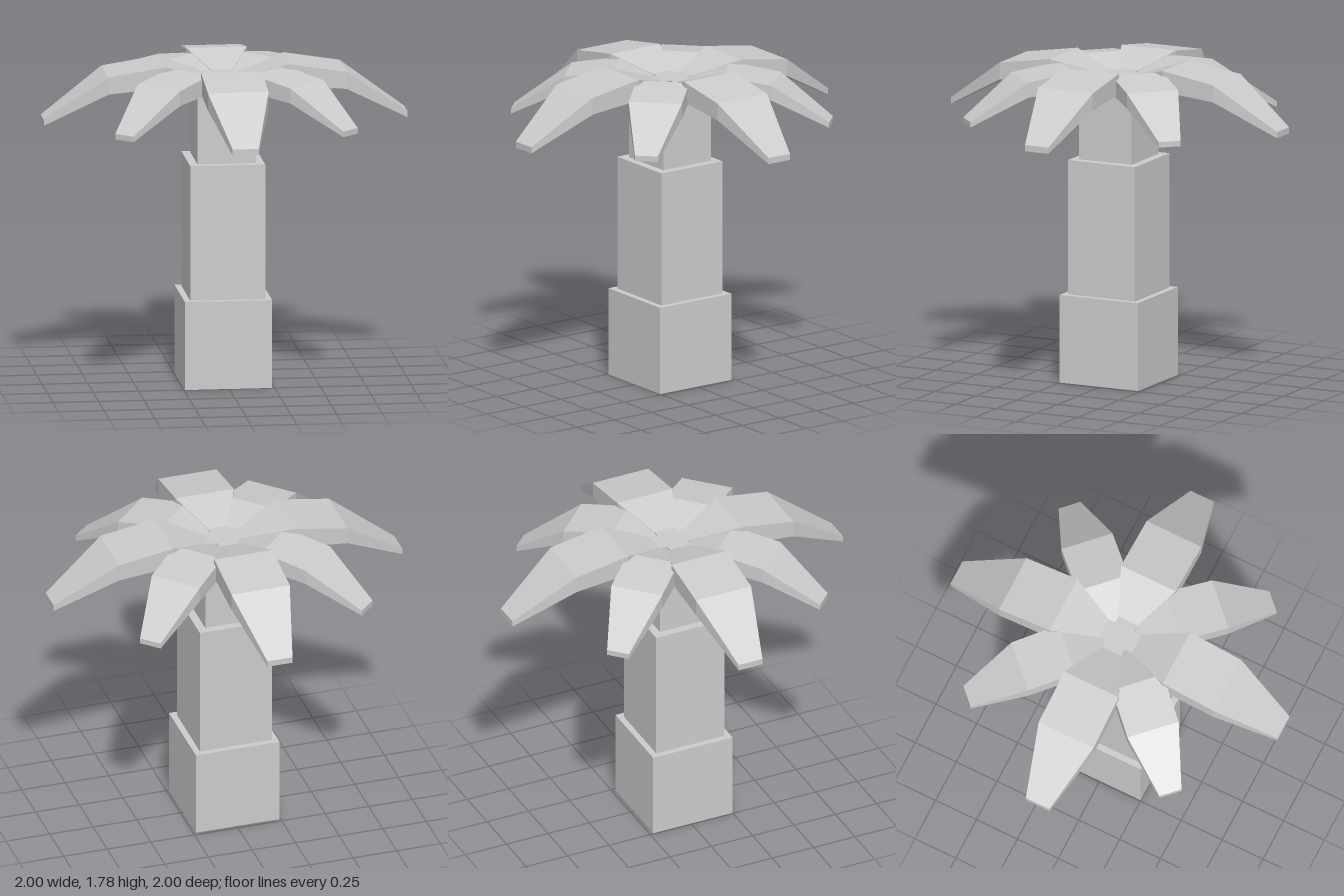
import * as THREE from 'three';

const material = new THREE.MeshStandardMaterial({ color: 0xcccccc, flatShading: true });

// Leaf stations from crown centre to tip: [distance, half width, top, bottom]
const PIVOT_Y = 1.62;
const STATIONS = [
  [0, 0.06, 1.71, 1.62],
  [0.1, 0.06, 1.71, 1.62],
  [0.345, 0.167, 1.785, 1.67],
  [0.655, 0.167, 1.735, 1.64],
  [1, 0.072, 1.49, 1.455],
];

// Four-sided solid swept through the stations along +z
function leafGeometry() {
  const positions = [];
  const index = [];
  for (const [r, w, top, bottom] of STATIONS) {
    const t = top - PIVOT_Y, b = bottom - PIVOT_Y;
    positions.push(-w, t, r, w, t, r, w, b, r, -w, b, r);
  }
  const last = (STATIONS.length - 1) * 4;
  for (let i = 0; i < last; i += 4) {
    for (let k = 0; k < 4; k++) {
      const n = (k + 1) % 4;
      index.push(i + k, i + 4 + k, i + 4 + n, i + k, i + 4 + n, i + n);
    }
  }
  index.push(0, 1, 2, 0, 2, 3); // inner cap
  index.push(last, last + 3, last + 2, last, last + 2, last + 1); // tip cap
  const indexed = new THREE.BufferGeometry();
  indexed.setAttribute('position', new THREE.Float32BufferAttribute(positions, 3));
  indexed.setIndex(index);
  const geometry = indexed.toNonIndexed();
  geometry.computeVertexNormals();
  return geometry;
}

export function createModel() {
  const tree = new THREE.Group();
  tree.name = 'palmTree';

  // Stepped square trunk: [name, width, bottom, top]
  const trunk = new THREE.Group();
  trunk.name = 'trunk';
  for (const [name, width, y0, y1] of [
    ['trunkBase', 0.48, 0, 0.49],
    ['trunkMiddle', 0.412, 0.49, 1.24],
    ['trunkTop', 0.322, 1.24, 1.65],
  ]) {
    const mesh = new THREE.Mesh(new THREE.BoxGeometry(width, y1 - y0, width), material);
    mesh.name = name;
    mesh.position.set(-0.005, (y0 + y1) / 2, 0.01);
    trunk.add(mesh);
  }
  tree.add(trunk);

  // Eight drooping leaves; the diagonal ones are smaller
  const crown = new THREE.Group();
  crown.name = 'crown';
  crown.position.y = PIVOT_Y;
  const geometry = leafGeometry();
  for (let i = 0; i < 8; i++) {
    const leaf = new THREE.Mesh(geometry, material);
    leaf.name = i % 2 ? 'smallLeaf' : 'largeLeaf';
    leaf.rotation.y = (i * Math.PI) / 4;
    if (i % 2) leaf.scale.setScalar(0.88);
    crown.add(leaf);
  }
  tree.add(crown);
  return tree;
}
